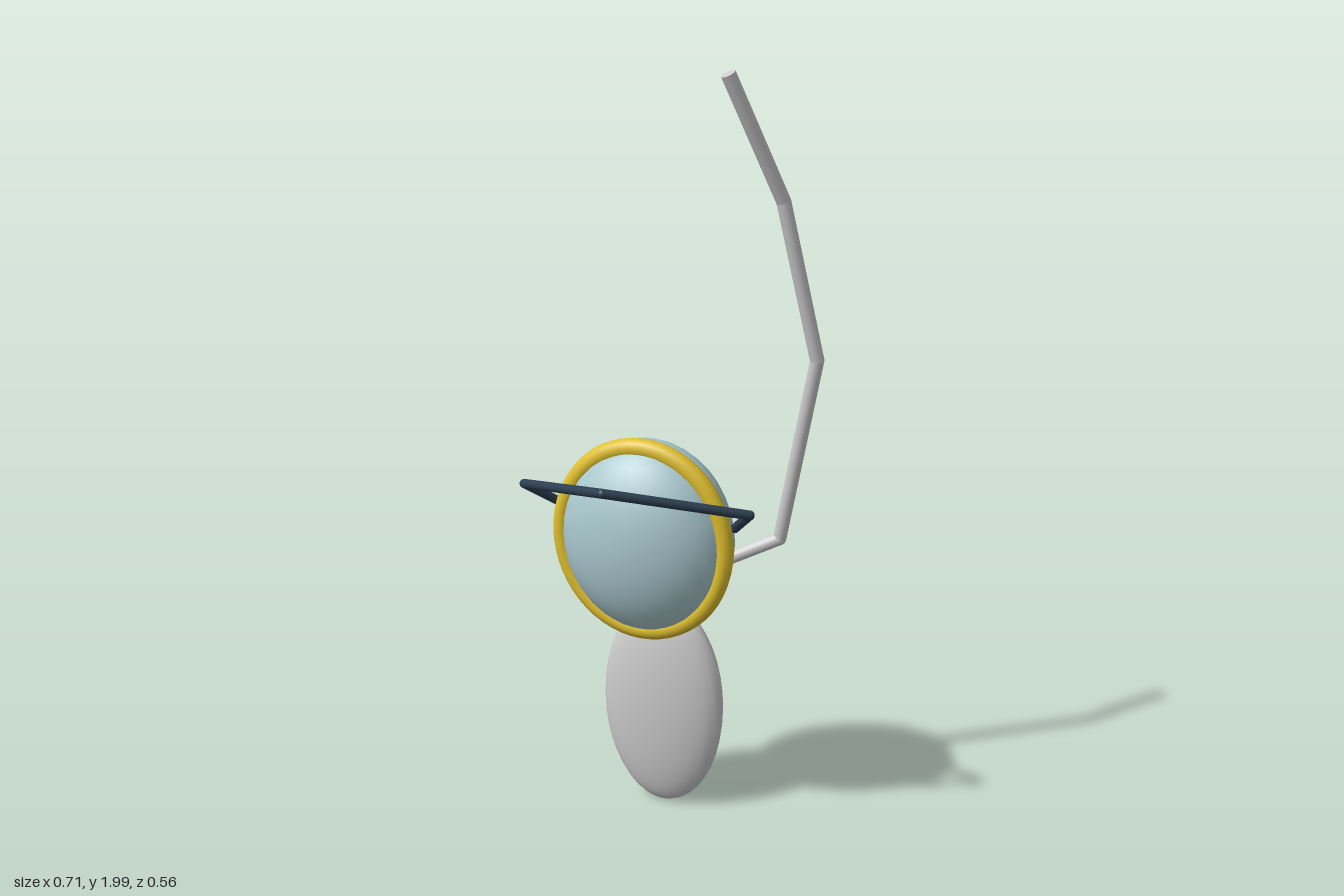
import * as THREE from 'three';
import { RoundedBoxGeometry } from 'three/addons/geometries/RoundedBoxGeometry.js';

const material = (color) => new THREE.MeshStandardMaterial({ color });
const grey = material(0xcccccc);
const blue = material(0xa9c8ce);
const yellow = material(0xdfbf2e);
const navy = material(0x2c3e50);

const CX = -0.042; // middle of the body

function addMesh(parent, name, geometry, mat, x, y, z) {
  const mesh = new THREE.Mesh(geometry, mat);
  mesh.name = name;
  mesh.position.set(x, y, z);
  parent.add(mesh);
  return mesh;
}

function ellipsoid(rx, ry, rz) {
  return new THREE.SphereGeometry(1, 28, 20).scale(rx, ry, rz);
}

// Straight round bars joined by balls at the inner corners
function bentRod(name, points, radius, mat) {
  const group = new THREE.Group();
  group.name = name;
  const pts = points.map((p) => new THREE.Vector3(...p));
  const up = new THREE.Vector3(0, 1, 0);
  for (let i = 0; i < pts.length - 1; i++) {
    const dir = pts[i + 1].clone().sub(pts[i]);
    const mid = pts[i].clone().addScaledVector(dir, 0.5);
    const bar = addMesh(group, name + 'Bar',
      new THREE.CylinderGeometry(radius, radius, dir.length(), 16), mat, mid.x, mid.y, mid.z);
    bar.quaternion.setFromUnitVectors(up, dir.normalize());
    if (i > 0) {
      addMesh(group, name + 'Joint', new THREE.SphereGeometry(radius, 16, 12), mat,
        pts[i].x, pts[i].y, pts[i].z);
    }
  }
  return group;
}

export function createModel() {
  const model = new THREE.Group();
  model.name = 'model';

  // Main shell with its rim
  addMesh(model, 'shell', ellipsoid(0.233, 0.26, 0.15), blue, CX, 0.836, -0.01);
  addMesh(model, 'rim', new THREE.TorusGeometry(0.225, 0.024, 14, 56).scale(1, 1.095, 1),
    yellow, CX, 0.837, 0.03);

  // Flat lower paddle and the block that joins it to the shell
  addMesh(model, 'paddle', ellipsoid(0.174, 0.306, 0.068), grey, CX, 0.31, -0.118);
  addMesh(model, 'connector', new RoundedBoxGeometry(0.135, 0.145, 0.13, 4, 0.022),
    yellow, CX, 0.661, -0.155);

  // Long bent pole rising from the connector
  model.add(bentRod('pole', [
    [0, 0.665, -0.195], [0.235, 0.78, -0.26], [0.335, 1.29, -0.212],
    [0.26, 1.69, -0.137], [0.16, 1.99, -0.01],
  ], 0.018, grey));

  // Front guard, symmetric about the shell's middle
  const half = [[0.237, 0.89, -0.01], [0.307, 0.966, 0.08]];
  const side = (s) => half.map(([x, y, z]) => [CX + s * x, y, z]);
  model.add(bentRod('guard', [...side(-1), [CX, 1.04, 0.265], ...side(1).reverse()], 0.012, navy));

  return model;
}
